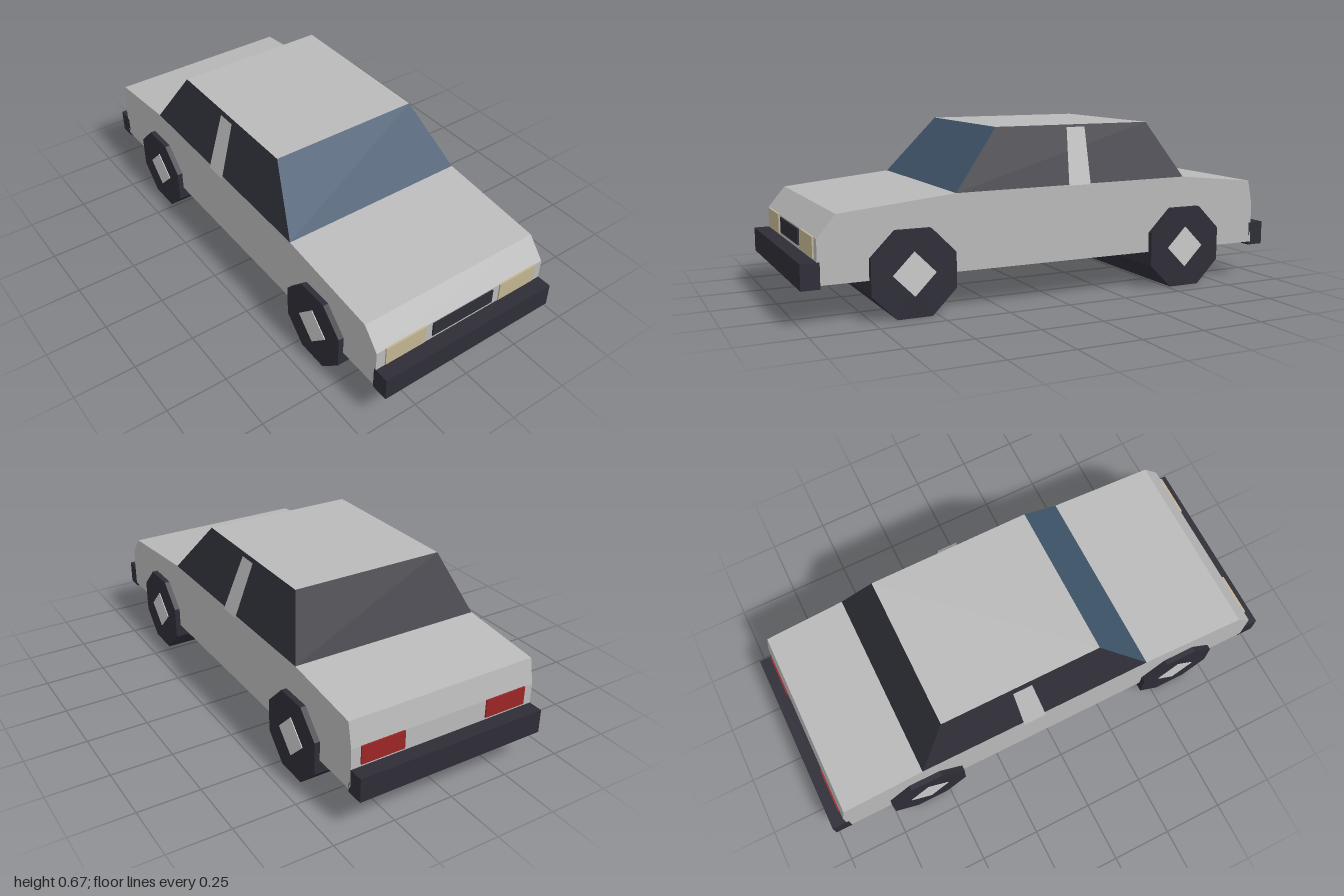
import * as THREE from 'three';

const paint = (name, color) => new THREE.MeshStandardMaterial({ name, color, flatShading: true, side: THREE.DoubleSide });

export function createModel() {
  const car = new THREE.Group();
  car.name = 'car';
  const body = paint('body grey', 0xb9b9b9);
  const dark = paint('dark trim', 0x2e2d37);
  const glass = paint('windscreen blue', 0x41576d);
  const lamp = paint('headlight cream', 0xc2b492);
  const red = paint('tail light red', 0x9c2626);
  const chrome = paint('hub silver', 0xcacaca);

  const add = (name, geometry, material, x = 0, y = 0, z = 0) => {
    const mesh = new THREE.Mesh(geometry, material);
    mesh.name = name;
    mesh.position.set(x, y, z);
    car.add(mesh);
    return mesh;
  };
  // Flat convex panel from its corners
  const panel = (name, corners, material) => {
    const g = new THREE.BufferGeometry();
    g.setAttribute('position', new THREE.Float32BufferAttribute(corners.flat(), 3));
    const index = [];
    for (let i = 1; i < corners.length - 1; i++) index.push(0, i, i + 1);
    g.setIndex(index);
    g.computeVertexNormals();
    return add(name, g, material);
  };

  const W = 0.398; // half width of the body
  // Body outline as [z, y], open underneath and below the cabin
  const outline = [[0.94, 0.15], [0.94, 0.315], [0.87, 0.398], [0.42, 0.443],
    [-0.58, 0.45], [-0.92, 0.415], [-0.94, 0.315], [-0.94, 0.15]];
  const skins = ['frontPanel', 'nose', 'hood', null, 'trunkLid', 'tailPanel', 'lowerTailPanel'];
  skins.forEach((name, i) => {
    if (!name) return;
    const [z0, y0] = outline[i], [z1, y1] = outline[i + 1];
    panel(name, [[-W, y0, z0], [W, y0, z0], [W, y1, z1], [-W, y1, z1]], body);
  });

  // Cabin: roof, windscreen and rear window
  const R = 0.318, top = 0.673, rf = 0.225, rb = -0.447;
  panel('roof', [[-R, top, rf], [R, top, rf], [R, top, rb], [-R, top, rb]], body);
  panel('windscreen', [[-W, 0.443, 0.42], [W, 0.443, 0.42], [R, top, rf], [-R, top, rf]], glass);
  panel('rearWindow', [[W, 0.45, -0.58], [-W, 0.45, -0.58], [-R, top, rb], [R, top, rb]], dark);

  // Sides, side windows and door pillars, with corners ordered outward
  for (const [s, side] of [[1, 'left'], [-1, 'right']]) {
    const facing = (pts) => (s > 0 ? pts : pts.reverse());
    panel(side + 'Side', facing(outline.map(([z, y]) => [s * W, y, z])), body);
    panel(side + 'Windows', facing([[s * W, 0.443, 0.42], [s * W, 0.45, -0.58],
      [s * R, top, rb], [s * R, top, rf]]), dark);
    panel(side + 'Pillar', facing([[s * 0.408, 0.445, -0.045], [s * 0.408, 0.445, -0.14],
      [s * 0.332, 0.664, -0.153], [s * 0.332, 0.664, -0.073]]), body);
    add(side + 'Headlight', new THREE.BoxGeometry(0.18, 0.077, 0.008), lamp, s * 0.269, 0.279, 0.942);
    add(side + 'TailLight', new THREE.BoxGeometry(0.18, 0.073, 0.008), red, s * 0.269, 0.28, -0.942);
  }

  // Grille and bumpers
  add('grille', new THREE.BoxGeometry(0.288, 0.061, 0.008), dark, 0, 0.28, 0.942);
  for (const s of [1, -1]) {
    add(s > 0 ? 'frontBumper' : 'rearBumper', new THREE.BoxGeometry(2 * W, 0.096, 0.07), dark, 0, 0.185, s * 0.965);
  }

  // Eight-sided wheel rollers running the full width, with diamond hubs
  for (const [name, z] of [['front', 0.592], ['rear', -0.583]]) {
    const roller = new THREE.CylinderGeometry(0.176, 0.176, 0.84, 8, 1, false, Math.PI / 8);
    add(name + 'Wheels', roller.rotateZ(Math.PI / 2), dark, 0, 0.163, z);
    for (const s of [1, -1]) {
      const hub = new THREE.CylinderGeometry(0.083, 0.083, 0.004, 4);
      add(name + 'Hub', hub.rotateZ(Math.PI / 2), chrome, s * 0.421, 0.163, z);
    }
  }
  return car;
}
